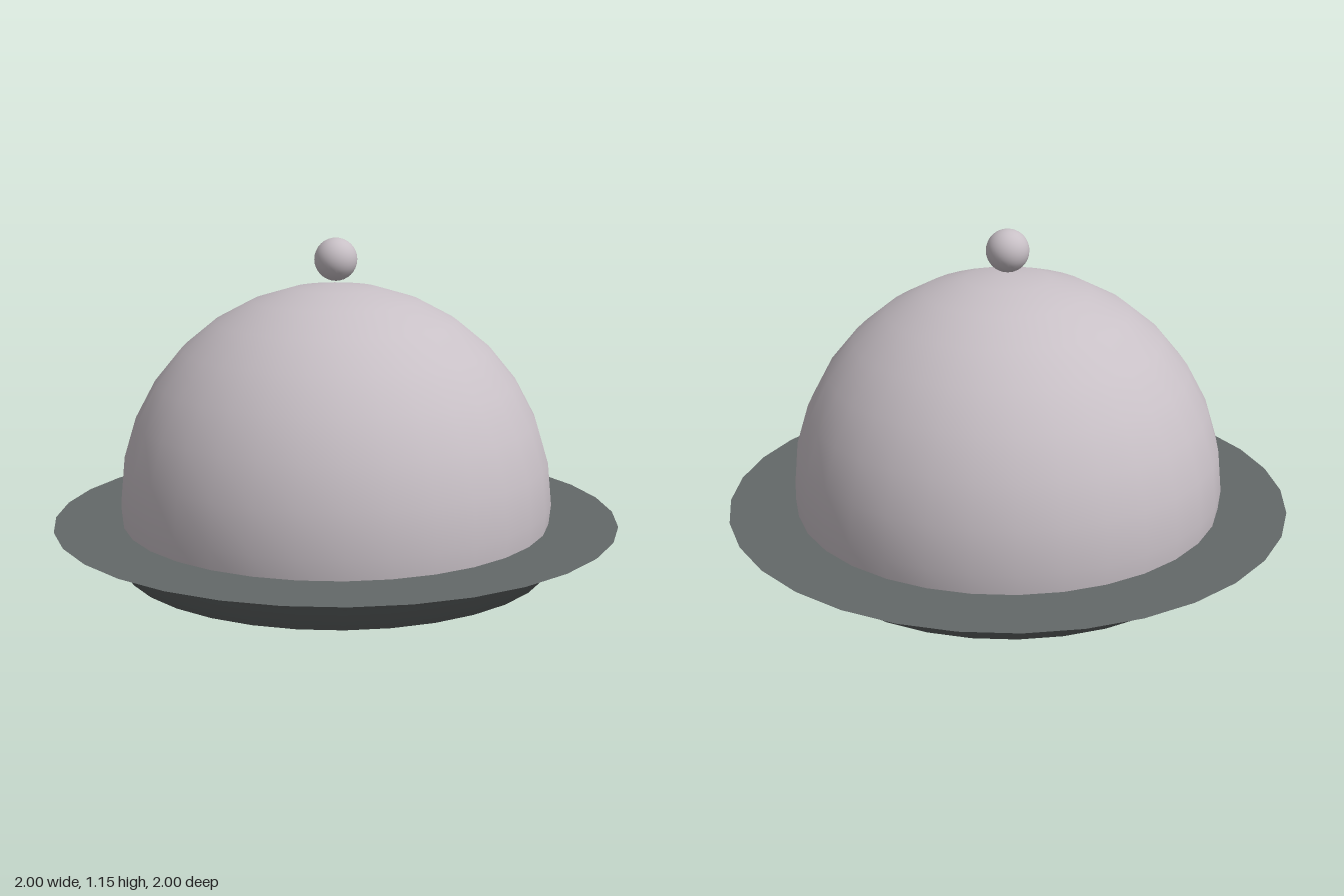
import * as THREE from 'three';

const SIDES = 32;

export function createModel() {
  const model = new THREE.Group();
  const silver = new THREE.MeshStandardMaterial({ color: 0xc8c0c6 });
  const dark = new THREE.MeshStandardMaterial({ color: 0x636868 });

  const add = (name, geometry, material, y) => {
    const mesh = new THREE.Mesh(geometry, material);
    mesh.name = name;
    mesh.position.y = y;
    model.add(mesh);
    return mesh;
  };

  // Tray: flat base, short foot and flared underside, smooth around the foot
  const profile = [[0, 0], [0.76, 0], [0.76, 0.06], [1, 0.16]]
    .map(([r, y]) => new THREE.Vector2(r, y));
  add('trayUnderside', new THREE.LatheGeometry(profile, SIDES), dark, 0);

  // Flat tray top with a sharp rim
  const top = new THREE.CircleGeometry(1, SIDES).rotateX(-Math.PI / 2);
  add('trayTop', top, dark, 0.16);

  // Dome continues a little past its widest ring, into the tray
  const dome = new THREE.SphereGeometry(0.765, SIDES, 9, 0, Math.PI * 2, 0, Math.PI * 9 / 16);
  add('domeCover', dome, silver, 0.23);

  // Round handle resting on the dome
  add('knob', new THREE.SphereGeometry(0.075, SIDES, 16), silver, 1.08);

  return model;
}
